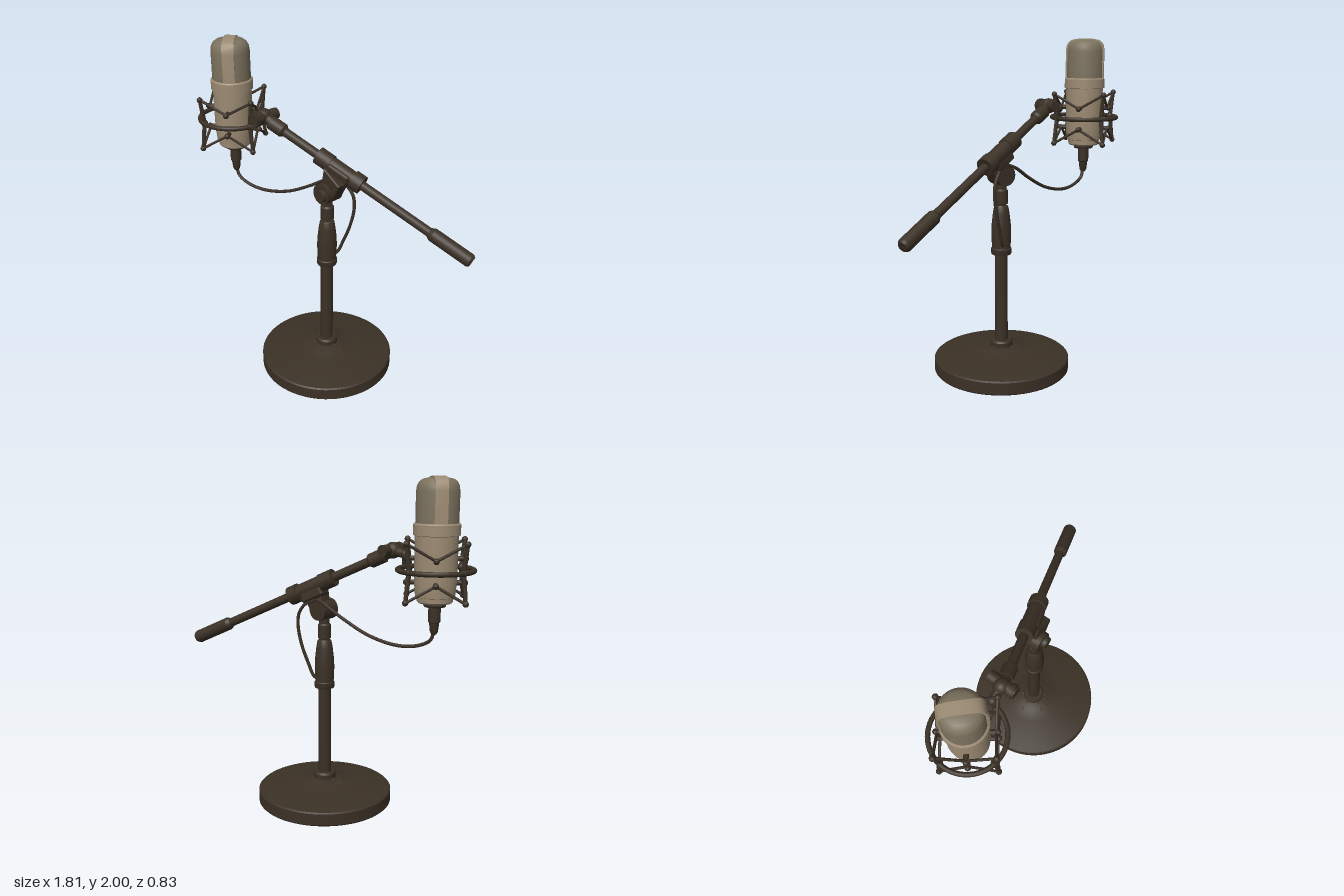
import * as THREE from 'three';
import { toCreasedNormals } from 'three/addons/utils/BufferGeometryUtils.js';
import { RoundedBoxGeometry } from 'three/addons/geometries/RoundedBoxGeometry.js';

const V = (x, y, z) => new THREE.Vector3(x, y, z);
const UP = V(0, 1, 0);

export function createModel() {
  const model = new THREE.Group();
  const mat = (name, color) => {
    const m = new THREE.MeshStandardMaterial({ color });
    m.name = name;
    return m;
  };
  const dark = mat('dark bronze', 0x3b3126);
  const body = mat('champagne metal', 0x9c8b73);
  const grilleMat = mat('grille mesh', 0x7b715e);

  const add = (name, geo, material = dark, parent = model) => {
    const mesh = new THREE.Mesh(geo, material);
    mesh.name = name;
    parent.add(mesh);
    return mesh;
  };
  // Turned part from [radius, height] pairs, with crisp edges
  const turned = (pts, seg = 40) =>
    toCreasedNormals(new THREE.LatheGeometry(pts.map(p => new THREE.Vector2(...p)), seg), 0.5);
  // Cylinder from a to b
  const rod = (name, a, b, r0, r1 = r0, parent = model, seg = 16) => {
    const m = add(name, new THREE.CylinderGeometry(r1, r0, a.distanceTo(b), seg), dark, parent);
    m.position.copy(a).lerp(b, 0.5);
    m.quaternion.setFromUnitVectors(UP, b.clone().sub(a).normalize());
    return m;
  };
  const ball = (name, p, r, parent = model) => {
    const m = add(name, new THREE.SphereGeometry(r, 16, 12), dark, parent);
    m.position.copy(p);
    return m;
  };

  // Stand: weighted base, pole and clutch
  const stand = new THREE.Group();
  stand.name = 'stand';
  stand.position.x = 0.063;
  model.add(stand);
  add('base', turned([[0, 0], [0.405, 0], [0.413, 0.008], [0.413, 0.078], [0.405, 0.085],
    [0.3, 0.108], [0.2, 0.124], [0.12, 0.136], [0.1, 0.146], [0, 0.148]], 64), dark, stand);
  add('baseCollar', turned([[0.068, 0.13], [0.068, 0.175], [0.06, 0.186], [0, 0.186]], 24), dark, stand);
  for (let i = 0; i < 6; i++) {
    const a = i * Math.PI / 3;
    rod('baseRib', V(Math.cos(a) * 0.05, 0.142, Math.sin(a) * 0.05),
      V(Math.cos(a) * 0.14, 0.126, Math.sin(a) * 0.14), 0.014, 0.008, stand, 8);
  }
  add('pole', turned([[0.039, 0.15], [0.039, 0.74]], 24), dark, stand);
  add('clutch', turned([[0, 0.73], [0.058, 0.73], [0.061, 0.737], [0.061, 0.765], [0.056, 0.77],
    [0.06, 0.86], [0.058, 0.91], [0.05, 0.98], [0.043, 1.02], [0.036, 1.03], [0, 1.03]], 28), dark, stand);
  add('neck', turned([[0.027, 1.02], [0.027, 1.035], [0.04, 1.04], [0.04, 1.12], [0.032, 1.13],
    [0.032, 1.2]], 20), dark, stand);

  // Boom arm, addressed by its x position
  const tip = V(0.893, 0.97, -0.315), head = V(-0.33, 1.565, 0.09);
  const at = x => head.clone().lerp(tip, (x - head.x) / (tip.x - head.x));
  const boomDir = tip.clone().sub(head).normalize();
  rod('boom', at(-0.3), at(0.72), 0.027);
  rod('boomHandle', at(0.665), at(0.88), 0.04, 0.04, model, 24);
  rod('handleTaper', at(0.645), at(0.665), 0.028, 0.04, model, 24);
  rod('handleCap', at(0.88), at(0.893), 0.04, 0.03, model, 24);
  rod('boomCollar', at(-0.32), at(-0.245), 0.042);
  rod('boomCollarTaper', at(-0.245), at(-0.232), 0.042, 0.03);

  // Boom clamp and tilting pivot
  rod('clampSleeve', at(0.0), at(0.24), 0.046, 0.046, model, 24);
  rod('clampRing', at(-0.025), at(0.055), 0.052, 0.052, model, 24);
  rod('clampRing', at(0.19), at(0.245), 0.056, 0.056, model, 24);
  const block = add('clampBlock', new RoundedBoxGeometry(0.15, 0.1, 0.1, 2, 0.015));
  block.position.copy(at(0.12)).add(V(-0.01, -0.02, 0.01));
  block.quaternion.setFromUnitVectors(V(1, 0, 0), boomDir);
  const wedge = new THREE.Shape([[0.03, 1.2], [0.12, 1.19], [0.175, 1.29], [0.06, 1.36]]
    .map(p => new THREE.Vector2(...p)));
  add('pivotBracket', new THREE.ExtrudeGeometry(wedge, { depth: 0.07, bevelSize: 0.006,
    bevelThickness: 0.006, bevelSegments: 1 })).position.z = -0.05;
  rod('pivotDisc', V(0.066, 1.215, -0.06), V(0.066, 1.215, 0.055), 0.063, 0.063, model, 28);
  rod('pivotKnob', V(0.08, 1.215, 0.05), V(0.08, 1.215, 0.08), 0.04, 0.034, model, 12);

  // Swivel joint between the boom and the shock mount
  const joint = V(-0.37, 1.59, 0.1);
  rod('jointStem', at(-0.29), joint, 0.034);
  ball('jointBall', joint, 0.047);
  rod('jointAxle', V(-0.36, 1.59, 0.015), V(-0.36, 1.59, 0.185), 0.034, 0.034, model, 20);
  rod('jointKnob', V(-0.36, 1.59, 0.15), V(-0.36, 1.59, 0.175), 0.042, 0.042, model, 12);
  rod('mountLink', joint, V(-0.455, 1.572, 0.105), 0.028, 0.024);
  ball('mountElbow', V(-0.455, 1.572, 0.105), 0.029);
  rod('mountFoot', V(-0.455, 1.58, 0.105), V(-0.447, 1.495, 0.12), 0.022, 0.018);

  // Shock mount: ring, four bent posts, elastic cords and clips
  const mic = new THREE.Group();
  mic.name = 'microphone';
  mic.position.set(-0.664, 0, 0.1);
  model.add(mic);
  const ring = add('mountRing', new THREE.TorusGeometry(0.206, 0.014, 10, 56), dark, mic);
  ring.rotation.x = Math.PI / 2;
  ring.position.y = 1.505;
  const polar = (a, r, y) => V(Math.cos(a) * r, y, Math.sin(a) * r);
  for (let i = 0; i < 4; i++) {
    const a = 0.16 + i * Math.PI / 2;
    const mid = polar(a, 0.2, 1.505);
    ball('postHub', mid, 0.021, mic);
    for (const s of [1, -1]) {
      const end = polar(a, 0.222, 1.502 + s * 0.155);
      rod('mountPost', mid, end, 0.014, 0.011, mic, 10);
      ball('postTip', end, 0.017, mic);
      for (const side of [1, -1]) {
        const clip = polar(a + side * Math.PI / 4, 0.15, 1.502 + s * 0.065);
        rod('elasticCord', end, clip, 0.008, 0.008, mic, 8);
      }
      const c = a + Math.PI / 4, y = 1.502 + s * 0.065;
      rod('cordClip', polar(c, 0.1, y), polar(c, 0.16, y), 0.014, 0.014, mic, 10);
      ball('clipTip', polar(c, 0.158, y), 0.017, mic);
    }
  }

  // Microphone: body, collar, domed grille and strap
  add('micBody', turned([[0.06, 1.325], [0.09, 1.327], [0.098, 1.335], [0.1, 1.36], [0.108, 1.363],
    [0.111, 1.39], [0.116, 1.45], [0.117, 1.69]], 48), body, mic);
  add('micCollar', turned([[0.115, 1.688], [0.127, 1.692], [0.127, 1.748], [0.122, 1.755],
    [0.11, 1.756]], 48), body, mic);
  const dome = [[0.116, 1.75], [0.116, 1.92], [0.112, 1.95], [0.1, 1.972], [0.082, 1.985],
    [0.05, 1.992], [0, 1.994]];
  add('grille', turned(dome, 48), grilleMat, mic);
  const outline = dome.map(([r, y]) => [r * 1.035, y + 0.006]);
  const arch = outline.concat(outline.slice(0, -1).reverse().map(([r, y]) => [-r, y]));
  const strapGeo = new THREE.ExtrudeGeometry(new THREE.Shape(arch.map(p => new THREE.Vector2(...p))),
    { depth: 0.07, bevelEnabled: false });
  strapGeo.translate(0, 0, -0.035);
  add('grilleStrap', toCreasedNormals(strapGeo, 0.6), body, mic).rotation.y = -Math.PI / 4;

  // Plug below the microphone
  add('micFoot', turned([[0, 1.305], [0.058, 1.305], [0.062, 1.312], [0.062, 1.33], [0, 1.33]], 28), dark, mic);
  add('cablePlug', turned([[0, 1.15], [0.014, 1.15], [0.022, 1.165], [0.028, 1.215], [0.034, 1.22],
    [0.034, 1.31]], 20), dark, mic);

  // Cable, sagging to the clamp and then down to the clutch
  const cable = (name, pts) => add(name, new THREE.TubeGeometry(
    new THREE.CatmullRomCurve3(pts.map(p => V(...p))), 56, 0.01, 8));
  cable('cable', [[-0.664, 1.17, 0.1], [-0.645, 1.115, 0.096], [-0.57, 1.075, 0.08], [-0.45, 1.063, 0.05],
    [-0.28, 1.1, 0.01], [-0.12, 1.18, -0.03], [0, 1.255, -0.06], [0.06, 1.28, -0.06]]);
  cable('lowerCable', [[0.08, 1.28, -0.06], [0.14, 1.245, -0.09], [0.175, 1.19, -0.103], [0.182, 1.11, -0.105],
    [0.16, 0.99, -0.095], [0.125, 0.88, -0.075], [0.1, 0.81, -0.06], [0.085, 0.79, -0.045]]);

  return model;
}
